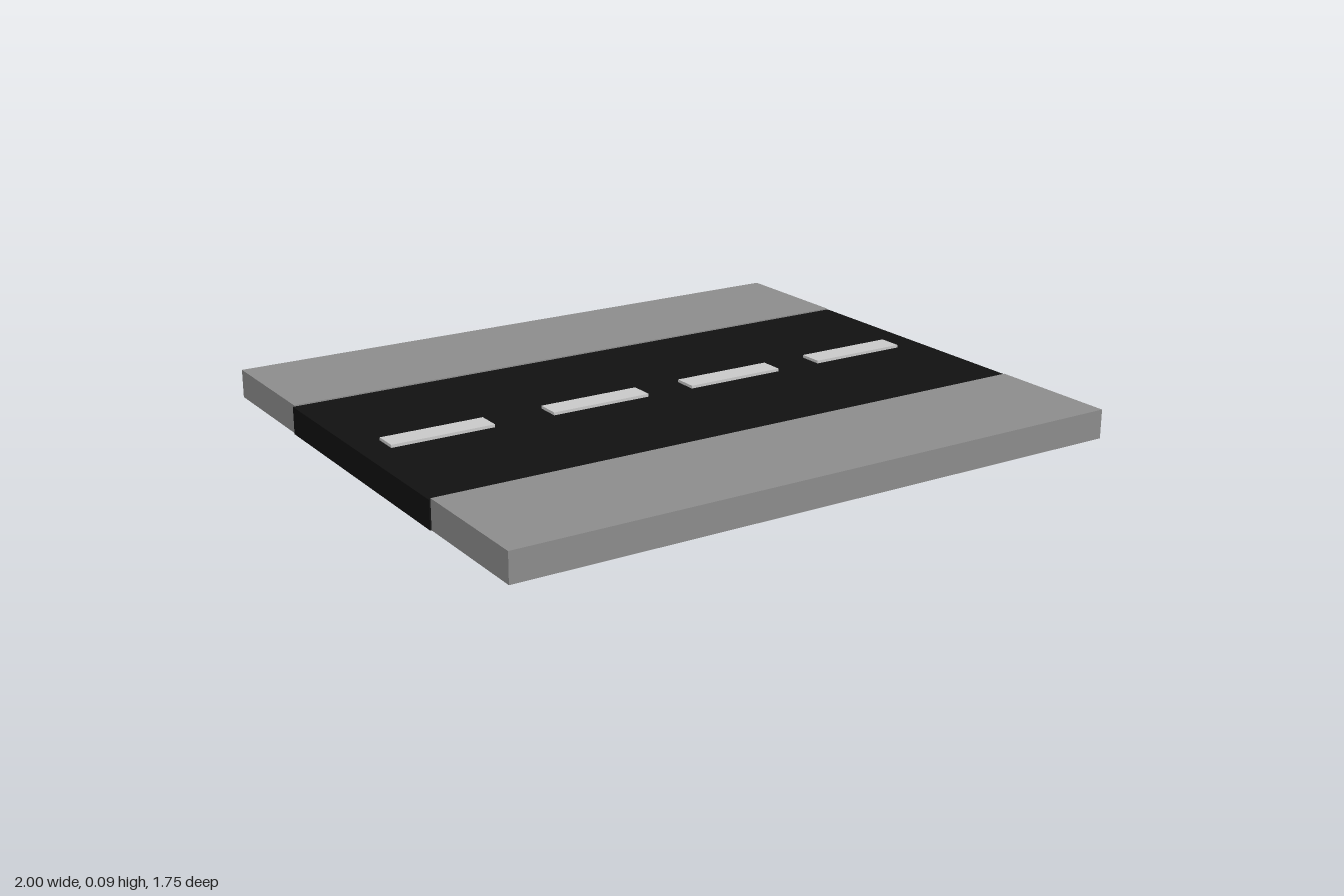
import * as THREE from 'three';

export function createModel() {
  const model = new THREE.Group();
  model.name = 'roadSegment';

  const asphalt = new THREE.MeshStandardMaterial({ color: 0x111111 });
  const concrete = new THREE.MeshStandardMaterial({ color: 0x8e8e8e });
  const paint = new THREE.MeshStandardMaterial({ color: 0xcccccc });

  // Box standing on the ground, centred at x, z
  function slab(name, material, width, height, depth, x, z) {
    const mesh = new THREE.Mesh(new THREE.BoxGeometry(width, height, depth), material);
    mesh.name = name;
    mesh.position.set(x, height / 2, z);
    model.add(mesh);
  }

  // Carriageway
  slab('road', asphalt, 2, 0.086, 0.908, 0, 0);

  // Pavements along both edges
  slab('frontSidewalk', concrete, 1.992, 0.09, 0.421, 0, 0.665);
  slab('backSidewalk', concrete, 1.992, 0.09, 0.421, 0, -0.665);

  // Dashed centre line, the dashes reaching down through the road
  const dashes = [[-0.746, -0.002], [-0.222, -0.002], [0.26, 0.003], [0.742, 0.003]];
  dashes.forEach(([x, z], i) => slab(`laneDash${i + 1}`, paint, 0.328, 0.095, 0.076, x, z));

  return model;
}
